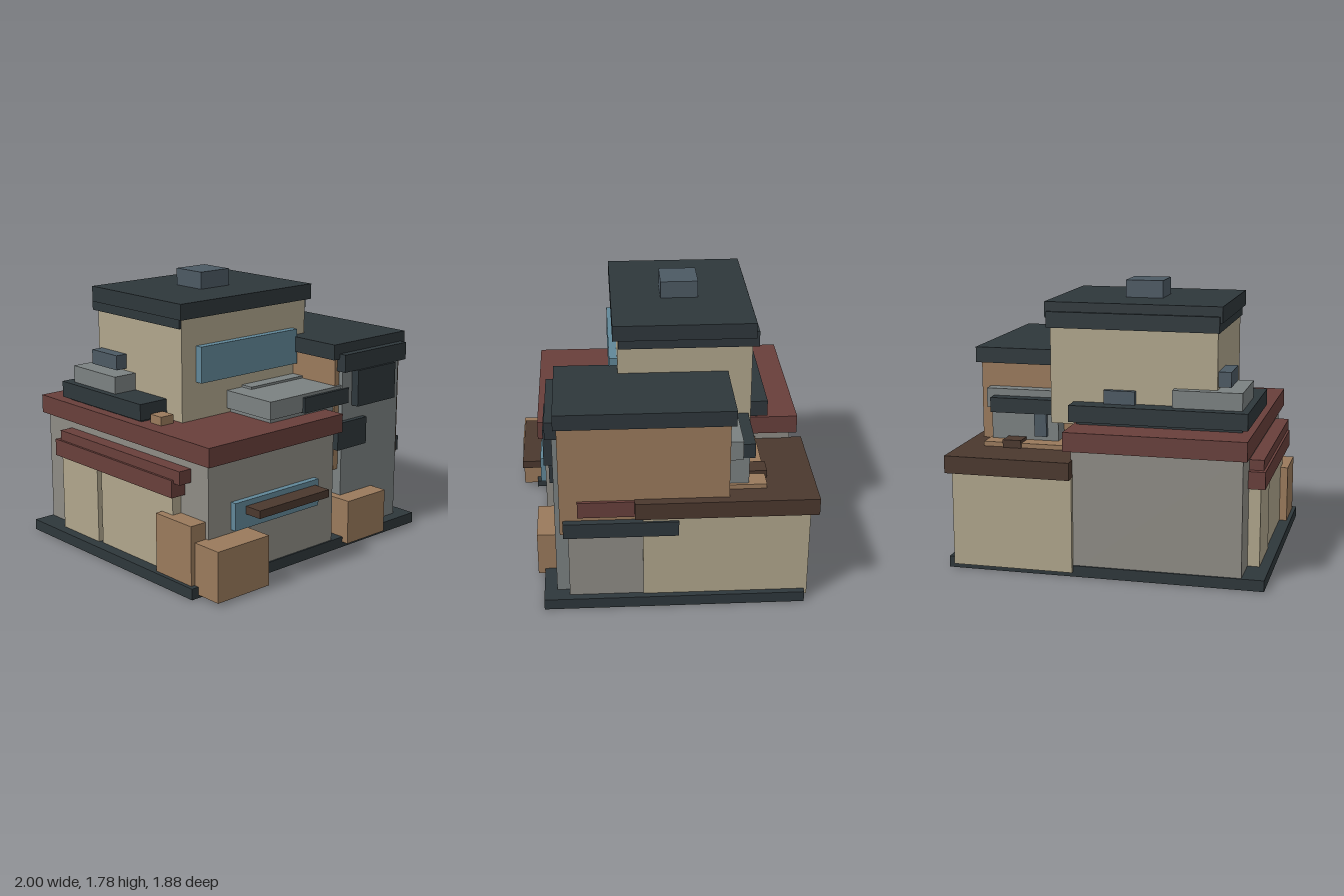
import * as THREE from 'three';

const mat = (color) => new THREE.MeshStandardMaterial({ color });

export function createModel() {
  const model = new THREE.Group();
  model.name = 'terracedHouse';

  const dark = mat(0x2e373b), tan = mat(0xb0a68c), stone = mat(0x8e8c85), concrete = mat(0x7b8181);
  const wood = mat(0x9a7a5c), red = mat(0x683f3b), brown = mat(0x4b382e), glass = mat(0x618798), slate = mat(0x4c5963);

  // Box between two limits on each axis
  const box = (parent, name, material, [x0, x1], [y0, y1], [z0, z1]) => {
    const mesh = new THREE.Mesh(new THREE.BoxGeometry(x1 - x0, y1 - y0, z1 - z0), material);
    mesh.position.set((x0 + x1) / 2, (y0 + y1) / 2, (z0 + z1) / 2);
    mesh.name = name;
    parent.add(mesh);
  };
  const section = (name) => {
    const g = new THREE.Group();
    g.name = name;
    model.add(g);
    return g;
  };

  box(model, 'baseSlab', dark, [-1, 1], [0, 0.07], [-0.87, 0.76]);

  // Ground floor main block
  const main = section('mainBlock');
  box(main, 'mainWalls', stone, [-0.86, 0.2], [0.03, 0.82], [-0.86, 0.75]);
  box(main, 'mainRoof', red, [-0.89, 0.24], [0.8, 0.92], [-0.9, 0.79]);
  box(main, 'frontWindow', glass, [-0.68, 0.03], [0.36, 0.535], [0.7, 0.79]);
  box(main, 'windowAwning', brown, [-0.595, 0], [0.45, 0.5], [0.75, 0.91]);
  box(main, 'roofVent', wood, [-0.79, -0.69], [0.9, 0.975], [0.13, 0.235]);

  // Side bays under a long awning
  const bays = section('sideBays');
  box(bays, 'rearBay', tan, [-0.935, -0.8], [0.05, 0.62], [-0.62, -0.24]);
  box(bays, 'frontBay', tan, [-0.925, -0.8], [0.05, 0.62], [-0.21, 0.5]);
  box(bays, 'awning', red, [-0.965, -0.8], [0.57, 0.68], [-0.65, 0.54]);
  box(bays, 'awningCap', red, [-0.95, -0.8], [0.66, 0.745], [-0.61, 0.595]);

  // Side wing at the back
  const wing = section('rearWing');
  box(wing, 'wingWalls', tan, [0.19, 0.96], [0.03, 0.65], [-0.89, 0.14]);
  box(wing, 'wingRoof', brown, [0.19, 0.99], [0.63, 0.74], [-0.94, 0.19]);
  box(wing, 'wingFrontWall', stone, [0.6, 0.95], [0.03, 0.55], [0.1, 0.6]);
  box(wing, 'sideTrim', dark, [0.6, 0.975], [0.5, 0.6], [-0.08, 0.63]);
  box(wing, 'sideCanopy', red, [0.6, 0.95], [0.63, 0.735], [0.15, 0.54]);
  box(wing, 'deck', wood, [0.22, 0.84], [0.72, 0.77], [-0.63, -0.3]);
  box(wing, 'deckBox', brown, [0.59, 0.71], [0.73, 0.79], [-0.645, -0.53]);

  // Front tower
  const tower = section('tower');
  box(tower, 'towerFront', concrete, [0.35, 0.89], [0.03, 1.25], [0.0, 0.68]);
  box(tower, 'towerBody', wood, [0.31, 0.93], [0.5, 1.26], [-0.39, 0.65]);
  box(tower, 'towerRoof', dark, [0.28, 0.96], [1.24, 1.34], [-0.42, 0.67]);
  box(tower, 'towerFascia', dark, [0.33, 0.92], [1.16, 1.275], [0.5, 0.72]);
  box(tower, 'towerWindow', dark, [0.44, 0.8], [0.92, 1.16], [0.6, 0.735]);
  box(tower, 'wallSign', dark, [0.28, 0.55], [0.65, 0.83], [0.6, 0.715]);
  box(tower, 'rearWall', concrete, [0.38, 0.82], [0.74, 0.97], [-0.52, -0.3]);
  box(tower, 'rearWindow', slate, [0.45, 0.53], [0.8, 0.95], [-0.55, -0.45]);
  box(tower, 'rearLedge', dark, [0.4, 0.82], [0.945, 1.04], [-0.555, -0.3]);
  box(tower, 'rearCanopy', concrete, [0.44, 0.87], [0.96, 1.085], [-0.475, -0.3]);

  // Canopy beside the tower
  const canopy = section('entranceCanopy');
  box(canopy, 'canopySlab', concrete, [-0.28, 0.4], [0.95, 1.065], [0.25, 0.67]);
  box(canopy, 'canopyBase', concrete, [-0.25, 0.38], [0.9, 0.96], [0.25, 0.64]);
  box(canopy, 'canopyStep', concrete, [-0.15, 0.34], [1.0, 1.08], [0.25, 0.36]);
  box(canopy, 'canopyFascia', dark, [0, 0.4], [0.945, 1.045], [0.5, 0.69]);

  // Upper storey
  const upper = section('upperStorey');
  box(upper, 'upperWalls', tan, [-0.65, 0.41], [0.9, 1.58], [-0.57, 0.27]);
  box(upper, 'upperRoof', dark, [-0.68, 0.44], [1.57, 1.67], [-0.59, 0.3]);
  box(upper, 'roofTrim', dark, [-0.665, 0.425], [1.51, 1.61], [-0.61, 0.265]);
  box(upper, 'chimney', slate, [-0.24, 0], [1.65, 1.78], [-0.26, -0.02]);
  box(upper, 'upperWindow', glass, [-0.535, 0.295], [1.16, 1.39], [0.2, 0.32]);
  box(upper, 'rearVent', slate, [-0.14, 0.06], [1.0, 1.13], [-0.605, -0.5]);

  // Ledge around the upper storey with rooftop equipment
  const ledge = section('rearTerrace');
  box(ledge, 'ledge', dark, [-0.86, 0.26], [0.94, 1.045], [-0.7, 0.12]);
  box(ledge, 'ledgeBase', dark, [-0.82, 0.22], [0.9, 0.95], [-0.66, 0.08]);
  box(ledge, 'equipmentBox', concrete, [-0.815, -0.38], [0.92, 1.155], [-0.63, -0.19]);
  box(ledge, 'equipmentUnit', slate, [-0.73, -0.6], [1.17, 1.265], [-0.54, -0.28]);

  // Crates and step at street level
  const yard = section('yard');
  box(yard, 'cornerCrate', wood, [-0.95, -0.54], [0.02, 0.34], [0.73, 0.935]);
  box(yard, 'sideCrate', wood, [-0.975, -0.75], [0.03, 0.445], [0.4, 0.725]);
  box(yard, 'towerCrate', wood, [0.295, 0.65], [0.035, 0.325], [0.6, 0.805]);
  box(yard, 'step', dark, [-0.6, -0.48], [0.02, 0.065], [0.7, 0.84]);

  return model;
}
